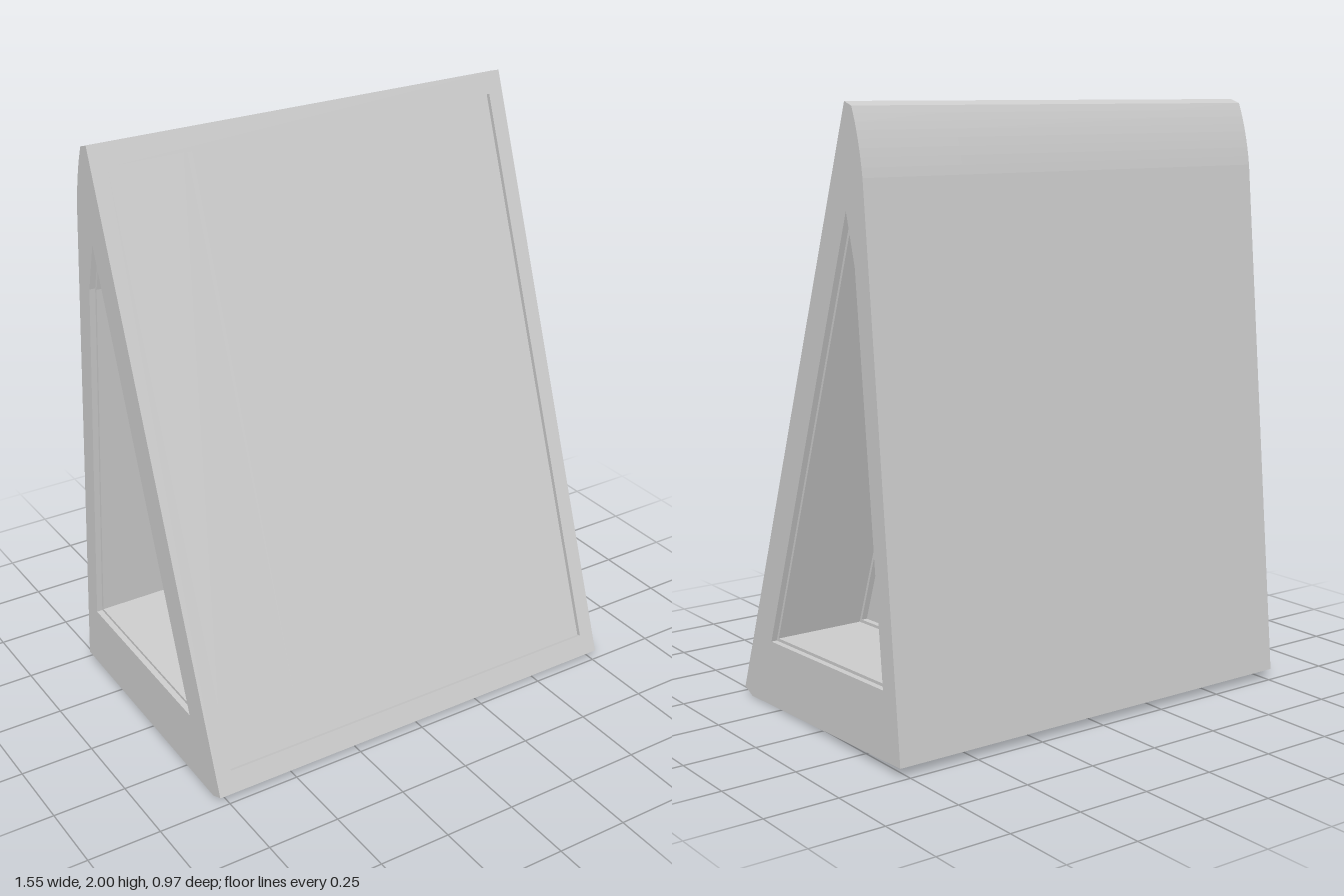
import * as THREE from 'three';

const HALF = 0.775;          // half width
const RECESS = 0.015;        // depth of the front panel recess
const FOOT = [0.483, 0.02];  // front slope ends, as [z, y]
const PEAK = [-0.223, 2.0];
const material = new THREE.MeshStandardMaterial({ color: 0xcccccc });

// Side opening, counter-clockwise in [z, y] with z to the right
const OPENING = [[0.292, 0.228], [-0.223, 1.68], [-0.268, 1.517], [-0.392, 0.25]];

// Moves every edge of a counter-clockwise polygon inwards by d
function inset(points, d) {
  const n = points.length;
  const normal = (a, b) => {
    const dx = b[0] - a[0], dy = b[1] - a[1], l = Math.hypot(dx, dy);
    return [-dy / l, dx / l];
  };
  return points.map((p, i) => {
    const n1 = normal(points[(i + n - 1) % n], p);
    const n2 = normal(p, points[(i + 1) % n]);
    const k = d / (1 + n1[0] * n2[0] + n1[1] * n2[1]);
    return new THREE.Vector2(p[0] + (n1[0] + n2[0]) * k, p[1] + (n1[1] + n2[1]) * k);
  });
}

export function createModel() {
  const model = new THREE.Group();
  const add = (name, geometry) => {
    const mesh = new THREE.Mesh(geometry, material);
    mesh.name = name;
    model.add(mesh);
    return mesh;
  };

  const run = FOOT[0] - PEAK[0], rise = PEAK[1] - FOOT[1];
  const slope = Math.hypot(run, rise);
  const backZ = RECESS * rise / slope, backY = RECESS * run / slope;

  // Wedge outline, with its front edge set back by the recess depth
  function outline() {
    const s = new THREE.Shape();
    s.moveTo(FOOT[0] - backZ, FOOT[1] - backY);
    s.lineTo(PEAK[0] - backZ, PEAK[1] - backY);
    s.lineTo(-0.262, 1.987);
    s.quadraticCurveTo(-0.3, 1.9, -0.318, 1.78);
    s.lineTo(-0.483, 0.03);
    s.lineTo(0.435, 0);
    s.closePath();
    return s;
  }

  // Slice of the wedge from x = a down to x = b
  function slice(a, b, holeInset) {
    const s = outline();
    if (holeInset !== undefined) s.holes.push(new THREE.Path(inset(OPENING, holeInset)));
    const g = new THREE.ExtrudeGeometry(s, { depth: a - b, bevelEnabled: false, curveSegments: 8 });
    return g.rotateY(-Math.PI / 2).translate(a, 0, 0);
  }

  // Solid core between the two side pockets
  const layers = [HALF, HALF - 0.02, HALF - 0.335, HALF - 0.355];
  add('core', slice(layers[3], -layers[3]));

  // Side pockets, stepping in slightly at the mouth and at the end
  for (let i = 0; i < 3; i++) {
    const a = layers[i], b = layers[i + 1], d = i * 0.01;
    add('leftPocketWall', slice(a, b, d));
    add('rightPocketWall', slice(-b, -a, d));
  }

  // Raised border around the recessed front panel
  const border = new THREE.Shape([
    new THREE.Vector2(-HALF, 0), new THREE.Vector2(HALF, 0),
    new THREE.Vector2(HALF, slope), new THREE.Vector2(-HALF, slope),
  ]);
  border.holes.push(new THREE.Path([
    new THREE.Vector2(-0.72, 0.075), new THREE.Vector2(-0.72, slope - 0.075),
    new THREE.Vector2(0.72, slope - 0.075), new THREE.Vector2(0.72, 0.075),
  ]));
  const frame = add('frontBorder', new THREE.ExtrudeGeometry(border, { depth: RECESS, bevelEnabled: false })
    .translate(0, 0, -RECESS));
  frame.rotation.x = -Math.atan2(run, rise);
  frame.position.set(0, FOOT[1], FOOT[0]);

  return model;
}
